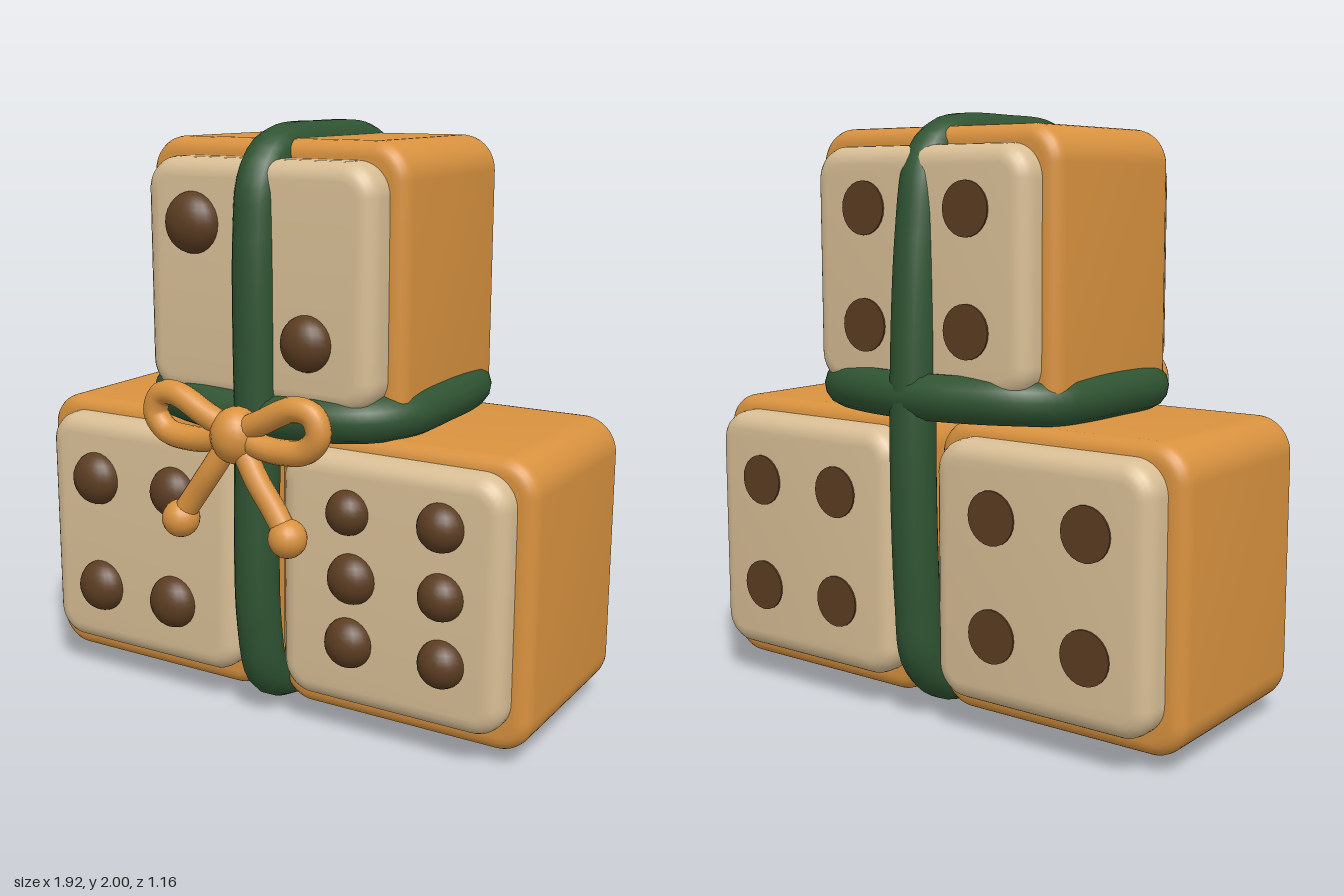
import * as THREE from 'three';
import { toCreasedNormals } from 'three/addons/utils/BufferGeometryUtils.js';

const material = (name, color) => {
  const m = new THREE.MeshStandardMaterial({ color });
  m.name = name;
  return m;
};

export function createModel() {
  const model = new THREE.Group();
  model.name = 'tiedTileStack';
  const biscuit = material('biscuitOrange', 0xd9923f);
  const cream = material('cream', 0xd8be95);
  const brown = material('darkBrown', 0x5c3d22);
  const green = material('ribbonGreen', 0x2f5432);

  const add = (parent, name, geometry, mat) => {
    const mesh = new THREE.Mesh(geometry, mat);
    mesh.name = name;
    parent.add(mesh);
    return mesh;
  };

  // Block with rounded corners in x/y and softly rolled front and back edges
  const block = (x0, x1, y0, y1, z0, z1, r, roll) => {
    const w = (x1 - x0) / 2, h = (y1 - y0) / 2;
    const s = new THREE.Shape();
    s.moveTo(-w + r, -h);
    s.lineTo(w - r, -h);
    s.absarc(w - r, -h + r, r, -Math.PI / 2, 0);
    s.absarc(w - r, h - r, r, 0, Math.PI / 2);
    s.absarc(-w + r, h - r, r, Math.PI / 2, Math.PI);
    s.absarc(-w + r, -h + r, r, Math.PI, Math.PI * 1.5);
    const g = new THREE.ExtrudeGeometry(s, {
      depth: z1 - z0 - 2 * roll, bevelThickness: roll, bevelSize: roll,
      bevelOffset: -roll, bevelSegments: 5, curveSegments: 8,
    });
    g.translate((x0 + x1) / 2, (y0 + y1) / 2, z0 + roll);
    return toCreasedNormals(g, 0.6);
  };

  const tube = (points, radius, closed, segments) => new THREE.TubeGeometry(
    new THREE.CatmullRomCurve3(points.map((p) => new THREE.Vector3(...p)), closed, 'centripetal'),
    segments, radius, 14, closed);

  // Each tile: body box, cream box, z range, back face depth, front pips [x, y, r], back pip centre
  const tiles = [
    {
      name: 'rightTile', body: [-0.96, -0.035, 0.05, 1.015, -0.42, 0.305],
      face: [-0.9, -0.09, 0.12, 0.97], back: -0.52, centre: [-0.505, 0.55, 0.175],
      pips: [[-0.68, 0.75, 0.095], [-0.34, 0.75, 0.09], [-0.67, 0.35, 0.093], [-0.35, 0.35, 0.093]],
    },
    {
      name: 'leftTile', body: [0.035, 0.96, 0.05, 1.015, -0.42, 0.305],
      face: [0.09, 0.9, 0.12, 0.97], back: -0.52, centre: [0.505, 0.55, 0.175],
      pips: [[0.355, 0.79, 0.075], [0.685, 0.795, 0.08], [0.37, 0.57, 0.085],
        [0.69, 0.57, 0.078], [0.36, 0.35, 0.085], [0.695, 0.35, 0.08]],
    },
    {
      name: 'topTile', body: [-0.49, 0.49, 1.02, 1.95, -0.4, 0.28],
      face: [-0.435, 0.435, 1.1, 1.89], back: -0.49, centre: [0, 1.5, 0.21],
      pips: [[-0.235, 1.68, 0.102], [0.2, 1.32, 0.092]],
    },
  ];
  for (const t of tiles) {
    const tile = new THREE.Group();
    tile.name = t.name;
    model.add(tile);
    add(tile, 'tileBody', block(...t.body, 0.12, 0.05), biscuit);
    add(tile, 'frontIcing', block(...t.face, 0.2, 0.39, 0.11, 0.06), cream);
    add(tile, 'backIcing', block(...t.face, t.back, -0.3, 0.11, 0.06), cream);
    // Domed pips in front
    for (const [x, y, r] of t.pips) {
      const pip = add(tile, 'frontPip', new THREE.SphereGeometry(r, 20, 14), brown);
      pip.position.set(x, y, 0.385);
      pip.scale.z = 0.075 / r;
    }
    // Four flat pips behind
    const [cx, cy, dx] = t.centre;
    for (const sx of [-1, 1]) for (const sy of [-1, 1]) {
      const pip = add(tile, 'backPip', new THREE.CylinderGeometry(0.088, 0.088, 0.008, 24), brown);
      pip.rotation.x = Math.PI / 2;
      pip.position.set(cx + sx * dx, cy + sy * 0.19, t.back - 0.002);
    }
  }

  // Ribbon running over the top and underneath, as [z, y]
  const loop = [
    [0.375, 1.0], [0.375, 0.35], [0.32, 0.15], [0.18, 0.09], [-0.1, 0.08], [-0.36, 0.12],
    [-0.46, 0.22], [-0.485, 0.4], [-0.5, 1.0], [-0.465, 1.6], [-0.42, 1.82], [-0.34, 1.9],
    [0, 1.925], [0.26, 1.905], [0.34, 1.83], [0.37, 1.65],
  ];
  add(model, 'verticalRibbon', tube(loop.map(([z, y]) => [0, y, z]), 0.077, true, 140), green);

  // Ribbon around the waist, mirrored half by half, as [x, y, z]
  const half = [
    [0.25, 1.075, 0.355], [0.38, 1.08, 0.3], [0.455, 1.085, 0.18], [0.468, 1.09, 0],
    [0.46, 1.09, -0.2], [0.43, 1.09, -0.33], [0.35, 1.095, -0.42], [0.18, 1.095, -0.48],
  ];
  const waist = [
    [0, 1.06, 0.37], ...half, [0, 1.095, -0.5],
    ...half.slice().reverse().map(([x, y, z]) => [-x, y, z]),
  ];
  add(model, 'waistRibbon', tube(waist, 0.077, true, 120), green);

  // Bow: knot, two loops and two tails with rounded ends
  const bow = new THREE.Group();
  bow.name = 'bow';
  model.add(bow);
  const knot = add(bow, 'bowKnot', new THREE.SphereGeometry(0.09, 20, 14), biscuit);
  knot.position.set(0, 1.02, 0.495);
  knot.scale.set(0.95, 1.05, 0.95);
  for (const s of [-1, 1]) {
    const ring = [
      [0.03, 1.03, 0.5], [0.12, 1.085, 0.51], [0.23, 1.135, 0.51], [0.295, 1.12, 0.505],
      [0.315, 1.06, 0.505], [0.27, 1.005, 0.505], [0.18, 0.99, 0.505], [0.09, 1.0, 0.505],
    ];
    add(bow, 'bowLoop', tube(ring.map(([x, y, z]) => [s * x, y, z]), 0.042, true, 64), biscuit);
    const tail = [[0.02, 1.0, 0.5], [0.09, 0.89, 0.515], [0.155, 0.8, 0.515], [0.21, 0.72, 0.52]];
    add(bow, 'bowTail', tube(tail.map(([x, y, z]) => [s * x, y, z]), 0.04, false, 24), biscuit);
    add(bow, 'bowTailEnd', new THREE.SphereGeometry(0.064, 18, 12), biscuit)
      .position.set(s * 0.21, 0.715, 0.52);
  }
  return model;
}
